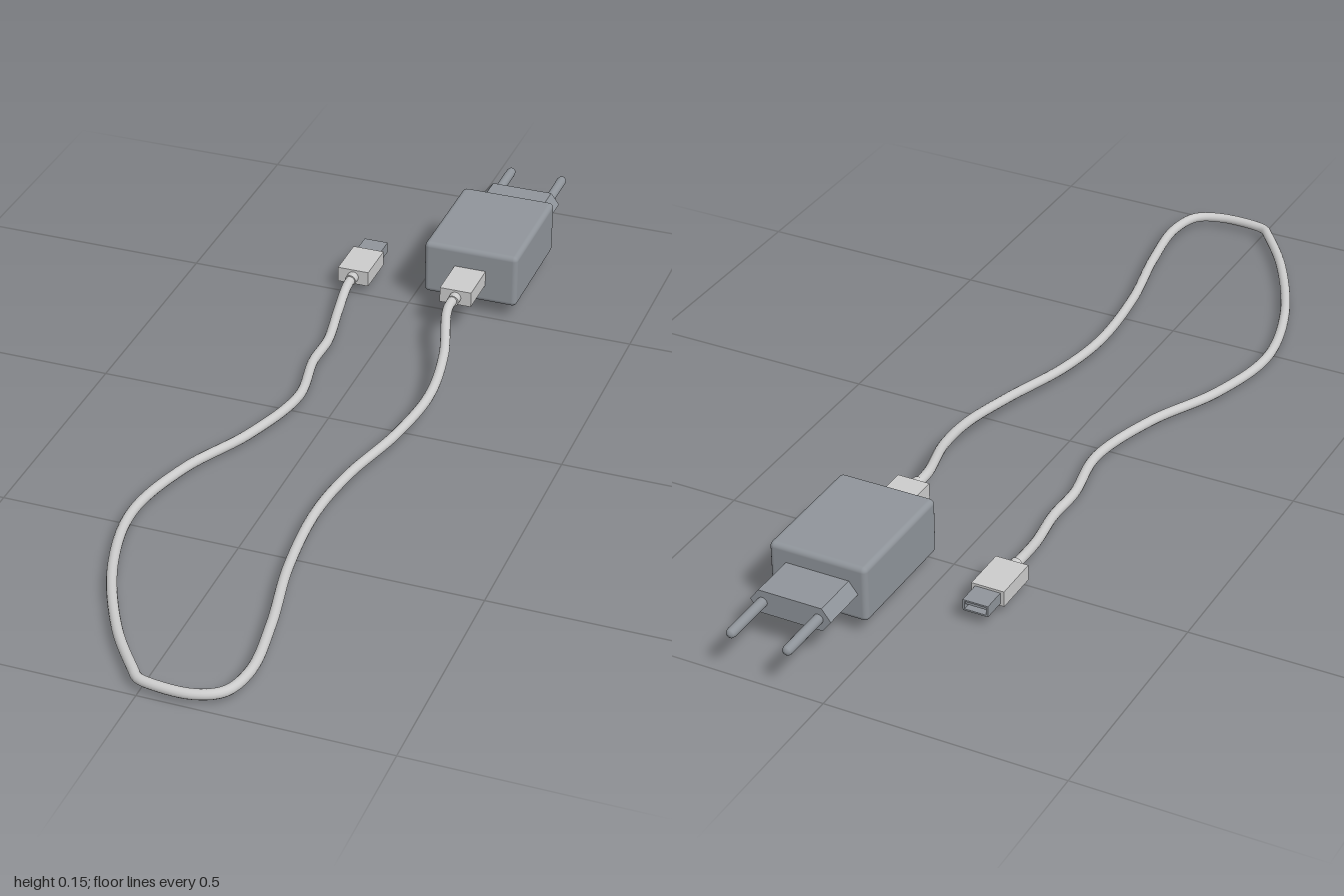
import * as THREE from 'three';
import { RoundedBoxGeometry } from 'three/addons/geometries/RoundedBoxGeometry.js';

const light = new THREE.MeshStandardMaterial({ color: 0xcccccc });
const dark = new THREE.MeshStandardMaterial({ color: 0x8f949a });

function add(parent, name, geometry, material, x = 0, y = 0, z = 0) {
  const mesh = new THREE.Mesh(geometry, material);
  mesh.name = name;
  mesh.position.set(x, y, z);
  parent.add(mesh);
  return mesh;
}

function polygon(points, Type = THREE.Shape) {
  return new Type(points.map(([x, y]) => new THREE.Vector2(x, y)));
}

const rect = (w, h) => [[-w / 2, -h / 2], [w / 2, -h / 2], [w / 2, h / 2], [-w / 2, h / 2]];

// USB connector: front of the housing (cable side) at the origin, plug towards -z
function makeConnector(name) {
  const g = new THREE.Group();
  g.name = name;
  add(g, 'housing', new THREE.BoxGeometry(0.07, 0.034, 0.1), light, 0, 0, -0.05);

  const shell = polygon(rect(0.054, 0.024));
  shell.holes.push(polygon(rect(0.046, 0.017).reverse(), THREE.Path));
  const shellGeo = new THREE.ExtrudeGeometry(shell, { depth: 0.055, bevelEnabled: false });
  add(g, 'plugShell', shellGeo, dark, 0, 0, -0.15);
  add(g, 'plugTongue', new THREE.BoxGeometry(0.046, 0.008, 0.048), dark, 0, 0.0045, -0.122);

  const collar = new THREE.CylinderGeometry(0.0125, 0.0125, 0.02, 20).rotateX(Math.PI / 2);
  add(g, 'strainRelief', collar, light, 0, 0, 0.008);
  return g;
}

function makeAdapter() {
  const g = new THREE.Group();
  g.name = 'wallAdapter';
  add(g, 'body', new RoundedBoxGeometry(0.21, 0.121, 0.272, 3, 0.011), dark, 0, 0, 0.136);

  // Six-sided plug neck
  const neck = polygon([[-0.087, 0], [-0.068, -0.025], [0.068, -0.025],
    [0.087, 0], [0.068, 0.025], [-0.068, 0.025]]);
  const neckGeo = new THREE.ExtrudeGeometry(neck, { depth: 0.105, bevelEnabled: false });
  add(g, 'plugNeck', neckGeo, dark, 0, 0, -0.1);

  // Two round-tipped pins
  const profile = [[0, 0], [0.0105, 0], [0.0105, 0.112], [0.009, 0.119], [0.005, 0.122], [0, 0.123]]
    .map(([r, y]) => new THREE.Vector2(r, y));
  const pinGeo = new THREE.LatheGeometry(profile, 20).rotateX(-Math.PI / 2);
  for (const side of [-1, 1]) {
    add(g, side < 0 ? 'rightPin' : 'leftPin', pinGeo, dark, side * 0.06, 0, -0.095);
  }
  return g;
}

function makeCable() {
  // Centre line from the adapter, around the loop, to the loose connector
  const points = [
    [0.135, 0.09, -0.43], [0.135, 0.089, -0.36], [0.175, 0.065, -0.217], [0.188, 0.045, -0.09],
    [0.167, 0.032, 0.053], [0.124, 0.025, 0.217], [0.108, 0.022, 0.36], [0.124, 0.021, 0.555],
    [0.161, 0.021, 0.74], [0.177, 0.021, 0.884], [0.156, 0.021, 0.958], [0.103, 0.02, 0.984],
    [0.015, 0.021, 0.982], [-0.008, 0.021, 0.974], [-0.025, 0.021, 0.954], [-0.103, 0.018, 0.847],
    [-0.198, 0.014, 0.65], [-0.235, 0.012, 0.466], [-0.198, 0.012, 0.29], [-0.124, 0.012, 0.13],
    [-0.082, 0.011, -0.04], [-0.103, 0.011, -0.185], [-0.103, 0.012, -0.275], [-0.12, 0.02, -0.38],
    [-0.131, 0.035, -0.47], [-0.131, 0.0365, -0.515],
  ].map((p) => new THREE.Vector3(...p));
  const curve = new THREE.CatmullRomCurve3(points, false, 'centripetal');
  return new THREE.TubeGeometry(curve, 260, 0.0105, 14);
}

export function createModel() {
  const model = new THREE.Group();
  model.name = 'phoneCharger';

  const adapter = makeAdapter();
  adapter.position.set(0.135, 0.091, -0.783);
  model.add(adapter);

  const plugged = makeConnector('pluggedConnector');
  plugged.position.set(0.135, 0.09, -0.412);
  model.add(plugged);

  const loose = makeConnector('looseConnector');
  loose.position.set(-0.131, 0.0365, -0.506);
  model.add(loose);

  add(model, 'cable', makeCable(), light);
  return model;
}
